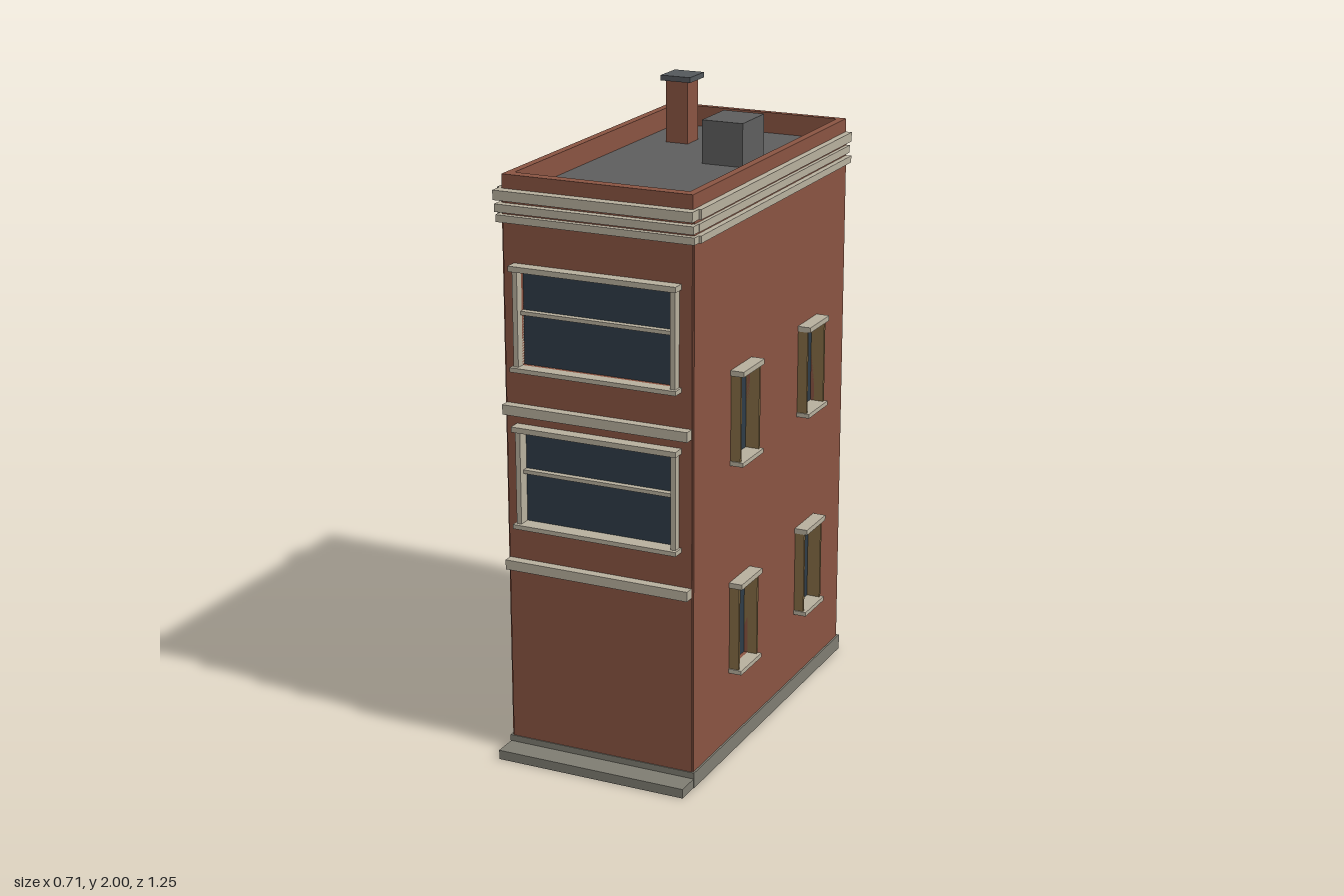
import * as THREE from 'three';

const mat = (name, color, side = THREE.FrontSide) => {
  const m = new THREE.MeshStandardMaterial({ color, side });
  m.name = name;
  return m;
};

export function createModel() {
  const brick = mat('brick', 0x8a5442);
  const stone = mat('paleStone', 0xb8b09e);
  const plinth = mat('plinthGrey', 0x7f7d72);
  const roofing = mat('roofGrey', 0x5e5e5e);
  const glass = mat('darkGlass', 0x2e3c48);
  const timber = mat('tanTimber', 0x846c45);
  const metal = mat('capGrey', 0x54585c);

  const model = new THREE.Group();
  model.name = 'townhouse';

  // Box given by its minimum and maximum corners
  const box = (name, material, [x0, y0, z0], [x1, y1, z1], parent = model) => {
    const mesh = new THREE.Mesh(new THREE.BoxGeometry(x1 - x0, y1 - y0, z1 - z0), material);
    mesh.position.set((x0 + x1) / 2, (y0 + y1) / 2, (z0 + z1) / 2);
    mesh.name = name;
    parent.add(mesh);
    return mesh;
  };

  const rect = (Type, x0, y0, x1, y1) => {
    const p = new Type();
    p.moveTo(x0, y0);
    p.lineTo(x1, y0);
    p.lineTo(x1, y1);
    p.lineTo(x0, y1);
    p.closePath();
    return p;
  };

  // Wall with window openings; its outer face lies on local z = 0
  const WALL = 0.025, TOP = 1.78;
  const wall = (name, x0, x1, openings) => {
    const group = new THREE.Group();
    group.name = name;
    const shape = rect(THREE.Shape, x0, 0.04, x1, TOP);
    for (const o of openings) shape.holes.push(rect(THREE.Path, ...o));
    const geo = new THREE.ExtrudeGeometry(shape, { depth: WALL, bevelEnabled: false });
    geo.translate(0, 0, -WALL);
    const mesh = new THREE.Mesh(geo, brick);
    mesh.name = 'brickwork';
    group.add(mesh);
    for (const [a, b, c, d] of openings)
      box('windowGlass', glass, [a - 0.005, b - 0.005, -0.02], [c + 0.005, d + 0.005, -0.012], group);
    model.add(group);
    return group;
  };

  // Jambs, head and sill around an opening
  const surround = (group, [a, b, c, d], jamb, jambWidth, jambDepth, over, depth) => {
    for (const [x0, x1] of [[a - jambWidth, a], [c, c + jambWidth]])
      box('windowJamb', jamb, [x0, b, -0.012], [x1, d, jambDepth], group);
    box('windowHead', stone, [a - over, d, -0.012], [c + over, d + 0.017, depth], group);
    box('windowSill', stone, [a - over, b - 0.014, -0.012], [c + over, b, depth], group);
  };

  // Front wall with two wide windows and floor bands
  const wide = [0.775, 1.273].map((y) => [-0.25, y, 0.25, y + 0.295]);
  const front = wall('frontWall', -0.307, 0.307, wide);
  front.position.z = 0.547;
  for (const o of wide) {
    surround(front, o, stone, 0.016, 0.027, 0.023, 0.04);
    const mid = o[1] + 0.163;
    box('windowRail', stone, [-0.25, mid - 0.006, -0.012], [0.25, mid + 0.006, 0.008], front);
  }
  for (const y of [0.62, 1.119])
    box('floorBand', stone, [-0.306, y, -0.01], [0.306, y + 0.031, 0.031], front);

  // Back wall with two plain recessed windows
  const back = wall('backWall', -0.307, 0.307, [0.286, 0.967].map((y) => [-0.095, y, 0.095, y + 0.275]));
  back.rotation.y = Math.PI;
  back.position.z = -0.62;

  // Side walls, each with four narrow windows
  for (const s of [1, -1]) {
    const openings = [];
    for (const z of [0.208, -0.309])
      for (const y of [0.288, 0.97])
        openings.push([-s * z - 0.065, y, -s * z + 0.065, y + 0.27]);
    const side = wall(s > 0 ? 'leftWall' : 'rightWall', s > 0 ? -0.543 : -0.614, s > 0 ? 0.614 : 0.543, openings);
    side.rotation.y = s * Math.PI / 2;
    side.position.x = s * 0.312;
    for (const o of openings) surround(side, o, timber, 0.009, 0.032, 0.013, 0.043);
  }

  // Plinth and front step
  box('plinth', plinth, [-0.318, 0, -0.626], [0.318, 0.05, 0.55]);
  box('frontStep', plinth, [-0.316, 0, 0.55], [0.316, 0.03, 0.628]);

  // Three cornice bands on the front and sides
  for (const [y0, y1, zFront, x] of [[1.777, 1.807, 0.58, 0.33], [1.74, 1.764, 0.572, 0.324], [1.708, 1.73, 0.565, 0.33]]) {
    box('frontCornice', stone, [-0.322, y0, 0.53], [0.322, y1, zFront]);
    for (const s of [1, -1])
      box('sideCornice', stone, [Math.min(s * 0.3, s * x), y0, -0.614], [Math.max(s * 0.3, s * x), y1, 0.536]);
  }

  // Parapet ring and flat roof
  const ring = rect(THREE.Shape, -0.309, -0.547, 0.309, 0.615);
  ring.holes.push(rect(THREE.Path, -0.284, -0.512, 0.284, 0.594));
  const ringGeo = new THREE.ExtrudeGeometry(ring, { depth: 1.85 - TOP, bevelEnabled: false });
  ringGeo.rotateX(-Math.PI / 2);
  const parapet = new THREE.Mesh(ringGeo, brick);
  parapet.name = 'parapet';
  parapet.position.y = TOP;
  model.add(parapet);
  box('roof', roofing, [-0.288, TOP - 0.02, -0.598], [0.288, TOP + 0.003, 0.516]);

  // Chimney and roof hatch
  box('chimneyStack', brick, [-0.194, TOP, -0.406], [-0.118, 1.985, -0.327]);
  box('chimneyCap', metal, [-0.207, 1.983, -0.42], [-0.104, 2, -0.315]);
  box('roofHatch', roofing, [0.04, TOP, -0.257], [0.177, 1.92, -0.094]);

  return model;
}
